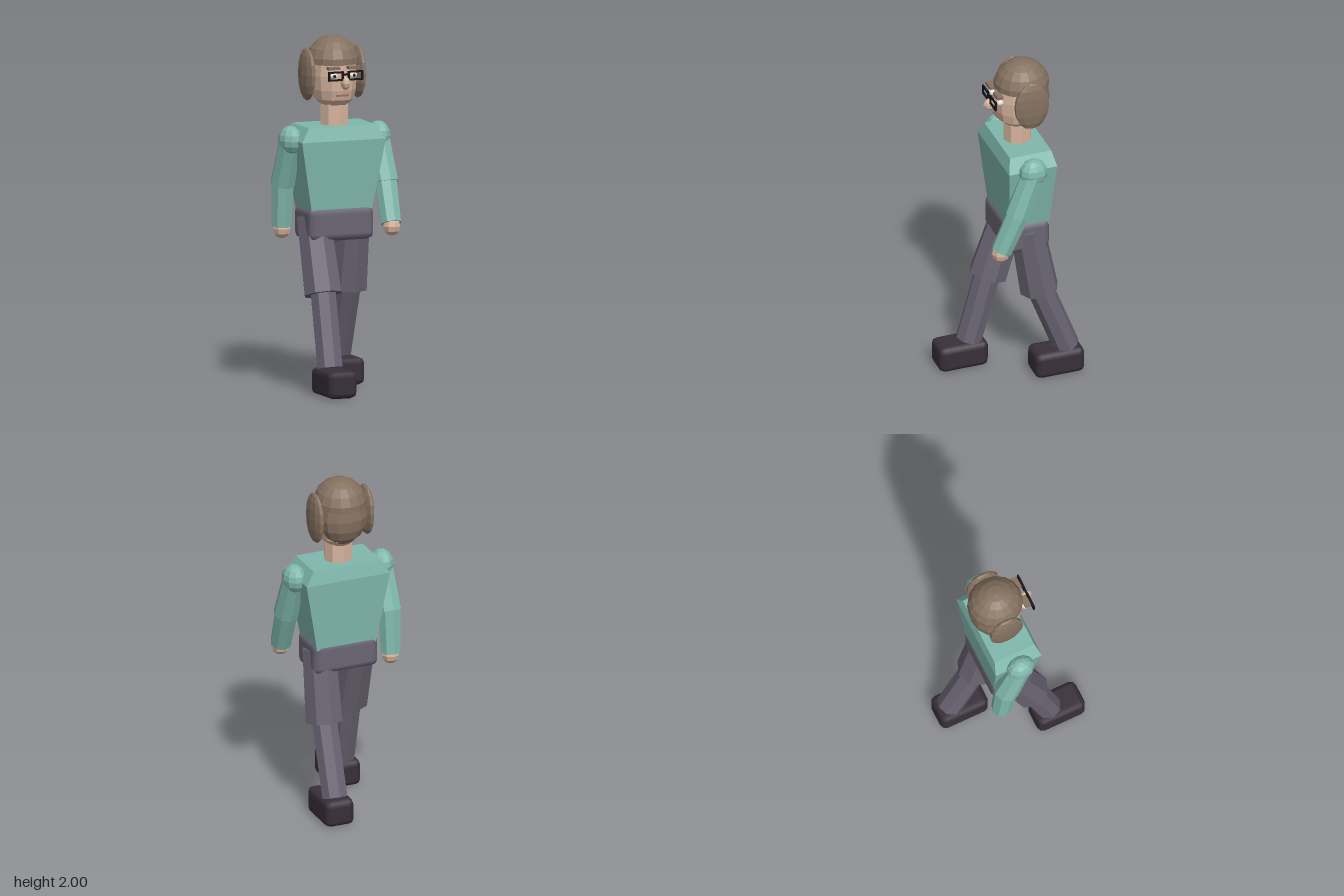
import * as THREE from 'three';
import { RoundedBoxGeometry } from 'three/addons/geometries/RoundedBoxGeometry.js';

const material = (name, color, flatShading = true) => {
  const m = new THREE.MeshStandardMaterial({ color, flatShading });
  m.name = name;
  return m;
};

export function createModel() {
  const model = new THREE.Group();
  model.name = 'walkingMan';
  const teal = material('sweaterTeal', 0x80b8ad);
  const grey = material('trouserGrey', 0x696472);
  const shoe = material('shoeDark', 0x382f3a, false);
  const skin = material('skin', 0xd6b49d);
  const brown = material('hairBrown', 0x857260);
  const black = material('black', 0x121216);
  const white = material('eyeWhite', 0xe8e2da);
  const lip = material('lipBrown', 0x98695f);

  const add = (name, geometry, mat, x = 0, y = 0, z = 0) => {
    const mesh = new THREE.Mesh(geometry, mat);
    mesh.name = name;
    mesh.position.set(x, y, z);
    model.add(mesh);
    return mesh;
  };
  const ball = (name, mat, [x, y, z], [rx, ry, rz], w = 12, h = 8) =>
    add(name, new THREE.SphereGeometry(1, w, h).scale(rx, ry, rz), mat, x, y, z);
  const box = (name, mat, [x, y, z], size) => add(name, new THREE.BoxGeometry(...size), mat, x, y, z);
  const lathe = (name, mat, profile, segments, zScale, z) =>
    add(name, new THREE.LatheGeometry(profile.map(p => new THREE.Vector2(...p)), segments).scale(1, 1, zScale), mat, 0, 0, z);
  // Eight-sided limb running from a to b
  const limb = (name, mat, a, b, ra, rb) => {
    const start = new THREE.Vector3(...a), end = new THREE.Vector3(...b);
    const dir = end.clone().sub(start);
    const mesh = add(name, new THREE.CylinderGeometry(ra, rb, dir.length(), 8), mat);
    mesh.position.copy(start).add(end).multiplyScalar(0.5);
    mesh.quaternion.setFromUnitVectors(new THREE.Vector3(0, -1, 0), dir.normalize());
    return mesh;
  };

  // Torso: a box widened at the chest and sloped in at the shoulders
  const torso = new THREE.BoxGeometry(2, 2, 2, 1, 2, 1);
  const sections = [[1.0, 0.18, 0.055, -0.177], [1.42, 0.255, 0.088, -0.2], [1.5, 0.205, 0.065, -0.183]];
  const pos = torso.attributes.position;
  for (let i = 0; i < pos.count; i++) {
    const [y, hw, front, back] = sections[Math.round(pos.getY(i)) + 1];
    pos.setXYZ(i, Math.sign(pos.getX(i)) * hw, y, pos.getZ(i) > 0 ? front : back);
  }
  torso.computeVertexNormals();
  add('torso', torso, teal);
  const hipMat = material('trouserGrey', 0x696472, false);
  add('hips', new RoundedBoxGeometry(0.4, 0.19, 0.26, 1, 0.04), hipMat, 0, 0.945, -0.055);

  // Neck and head
  add('neck', new THREE.CylinderGeometry(0.083, 0.083, 0.16, 8), skin, 0, 1.56, -0.055);
  lathe('head', skin, [[0, 1.595], [0.07, 1.605], [0.11, 1.645], [0.123, 1.7], [0.127, 1.78],
    [0.12, 1.86], [0.09, 1.92], [0, 1.95]], 12, 1.1, -0.06);
  ball('nose', skin, [0, 1.75, 0.107], [0.025, 0.038, 0.041], 8, 6);
  box('mouth', lip, [0, 1.675, 0.068], [0.07, 0.009, 0.02]);

  // Hair: cap, back and side lobes
  lathe('hairCap', brown, [[0, 1.85], [0.12, 1.85], [0.149, 1.845], [0.148, 1.88], [0.127, 1.93],
    [0.09, 1.969], [0.048, 1.992], [0, 2.0]], 16, 1.06, -0.08);
  ball('hairBack', brown, [0, 1.785, -0.13], [0.142, 0.165, 0.106]);

  // Spectacle frame shape
  const rim = new THREE.Shape();
  rim.moveTo(-0.046, -0.027).lineTo(0.046, -0.027).lineTo(0.046, 0.027).lineTo(-0.046, 0.027);
  const hole = new THREE.Path();
  hole.moveTo(-0.035, -0.017).lineTo(-0.035, 0.017).lineTo(0.035, 0.017).lineTo(0.035, -0.017);
  rim.holes.push(hole);
  const rimGeometry = new THREE.ExtrudeGeometry(rim, { depth: 0.01, bevelEnabled: false });

  for (const s of [1, -1]) {
    const side = s > 0 ? 'left' : 'right';
    ball(side + 'HairLobe', brown, [s * 0.154, 1.785, -0.085], [0.034, 0.15, 0.106], 10, 8);
    ball(side + 'Eye', white, [s * 0.06, 1.79, 0.073], [0.027, 0.018, 0.022], 8, 6);
    ball(side + 'Pupil', black, [s * 0.06, 1.79, 0.093], [0.009, 0.009, 0.008], 8, 6);
    box(side + 'Eyebrow', brown, [s * 0.06, 1.833, 0.08], [0.07, 0.015, 0.036]);
    add(side + 'SpectacleRim', rimGeometry, black, s * 0.06, 1.792, 0.107);

    // Arms swing opposite to the legs
    const shoulder = [s * 0.268, 1.42, -0.052];
    const elbow = s > 0 ? [0.275, 1.165, 0.045] : [-0.275, 1.165, -0.145];
    const wrist = s > 0 ? [0.267, 0.945, 0.138] : [-0.272, 0.92, -0.172];
    ball(side + 'Shoulder', teal, shoulder, [0.067, 0.083, 0.083], 10, 8);
    limb(side + 'UpperArm', teal, shoulder, elbow, 0.065, 0.073);
    limb(side + 'Forearm', teal, [elbow[0], elbow[1] + 0.02, elbow[2] - (s > 0 ? 0.01 : 0)], wrist, 0.067, 0.06);
    ball(side + 'Hand', skin, [wrist[0], wrist[1] - 0.015, wrist[2] + 0.006], [0.052, 0.055, 0.052], 8, 6);

    // Legs and shoes, the right leg forward
    const knee = [s * 0.122, 0.555, s > 0 ? -0.14 : 0.075];
    const ankle = [s * 0.127, 0.15, s > 0 ? -0.3 : 0.187];
    limb(side + 'Thigh', grey, [s * 0.122, 0.98, -0.065], knee, 0.1, 0.112);
    limb(side + 'Shin', grey, [knee[0], 0.57, knee[2]], ankle, 0.076, 0.076);
    add(side + 'Shoe', new RoundedBoxGeometry(0.176, 0.155, 0.295, 1, 0.035), shoe, s * 0.126, 0.0775, -s * 0.2415);
  }
  box('spectacleBridge', black, [0, 1.8, 0.112], [0.034, 0.012, 0.01]);
  return model;
}
